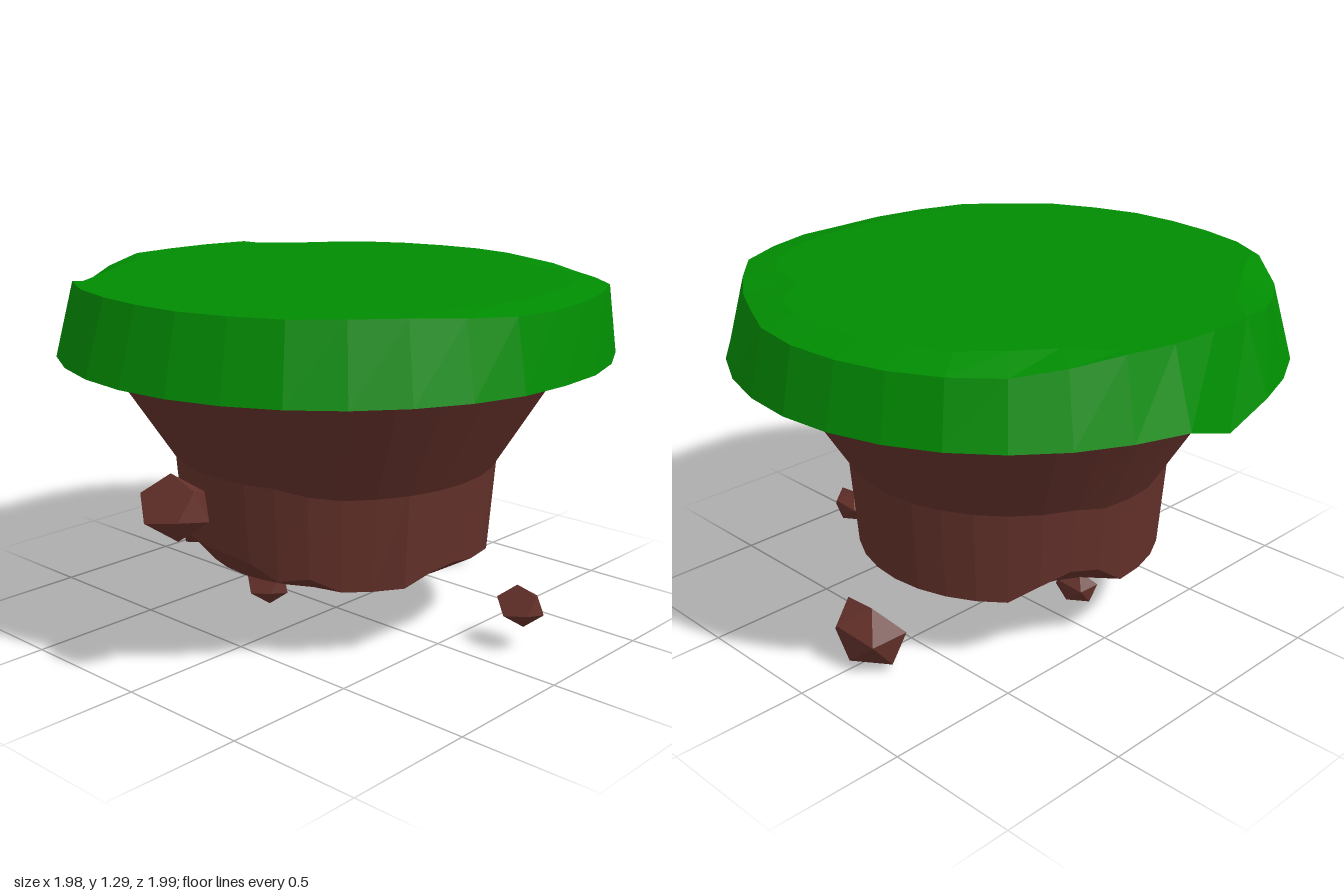
import * as THREE from 'three';
import { ConvexGeometry } from 'three/addons/geometries/ConvexGeometry.js';

const SIDES = 32;

// Reads a fixed value or a per-side list.
const at = (v, i) => (Array.isArray(v) ? v[i] : v);

// A list with one default value and a few exceptions by side index (0 = front, 8 = +x).
function vary(base, changes) {
  const list = new Array(SIDES).fill(base);
  for (const [i, v] of Object.entries(changes)) list[i] = v;
  return list;
}

// Skin a stack of rings [radius, height], ordered from the underside up and over.
function loft(rings) {
  const pos = [], index = [];
  for (const [r, y] of rings) {
    for (let i = 0; i < SIDES; i++) {
      const a = (i / SIDES) * Math.PI * 2;
      pos.push(Math.sin(a) * at(r, i), at(y, i), Math.cos(a) * at(r, i));
    }
  }
  for (let k = 0; k < rings.length - 1; k++) {
    for (let i = 0; i < SIDES; i++) {
      const j = (i + 1) % SIDES;
      const a = k * SIDES + i, b = k * SIDES + j, c = b + SIDES, d = a + SIDES;
      if (rings[k][0] !== 0) index.push(a, b, c);
      if (rings[k + 1][0] !== 0) index.push(a, c, d);
    }
  }
  const indexed = new THREE.BufferGeometry();
  indexed.setAttribute('position', new THREE.Float32BufferAttribute(pos, 3));
  indexed.setIndex(index);
  const geo = indexed.toNonIndexed();
  geo.computeVertexNormals();
  return geo;
}

// Icosahedral chunk with its front cap sliced off to a flat pentagon.
function rockGeometry(radius) {
  const points = [new THREE.Vector3(0, 0, -radius)];
  for (let i = 0; i < 10; i++) {
    const a = ((i + 2) / 10) * Math.PI * 2;
    const z = i % 2 ? 0.447 : -0.447;
    points.push(new THREE.Vector3(Math.cos(a) * 0.894, Math.sin(a) * 0.894, z).multiplyScalar(radius));
  }
  return new ConvexGeometry(points);
}

export function createModel() {
  const model = new THREE.Group();
  model.name = 'floatingIsland';
  const grass = new THREE.MeshStandardMaterial({ color: 0x018c02 });
  grass.name = 'grass green';
  const earth = new THREE.MeshStandardMaterial({ color: 0x64312a });
  earth.name = 'earth brown';
  grass.flatShading = earth.flatShading = true;

  const add = (name, geometry, material) => {
    const mesh = new THREE.Mesh(geometry, material);
    mesh.name = name;
    model.add(mesh);
    return mesh;
  };

  // Grass slab: tapered wall, uneven rim sloping off at the back, one sagging edge
  const rim = [
    0.92, 0.93, 0.93, 0.94, 0.925, 0.935, 0.94, 0.95, 0.945, 0.95, 0.955, 0.965, 0.935, 0.92, 0.92, 0.945,
    0.95, 0.945, 0.95, 0.95, 0.93, 0.92, 0.92, 0.91, 0.905, 0.915, 0.92, 0.92, 0.94, 0.93, 0.93, 0.92,
  ];
  const rimHeight = vary(1.29, {
    6: 1.28, 7: 1.27, 8: 1.265, 9: 1.27, 10: 1.27, 11: 1.27, 12: 1.265, 13: 1.26, 14: 1.265, 15: 1.26, 16: 1.255,
    17: 1.25, 18: 1.25, 19: 1.25, 20: 1.245, 21: 1.265, 26: 1.265, 27: 1.24, 28: 1.24,
  });
  // Wider slopes where the rim dips
  const turf = rim.map((r, i) => r * (i === 13 ? 0.8 : rimHeight[i] < 1.29 ? 0.88 : 0.96));
  add('grassTop', loft([
    [0.8, 1.03],
    [0.95, 1.03],
    [vary(0.997, { 8: 0.99, 23: 1.005, 24: 0.99, 25: 1.005 }), vary(1.03, { 24: 0.97 })],
    [rim, rimHeight],
    [turf, 1.29],
    [0, 1.29],
  ]), grass);

  // Earth: short broken column flaring up to the grass
  const brokenEdge = vary(0.273, {
    0: 0.37, 1: 0.36, 2: 0.31, 3: 0.33, 4: 0.28, 6: 0.28, 7: 0.32, 8: 0.33, 9: 0.31, 10: 0.3,
    21: 0.33, 22: 0.37, 23: 0.35, 29: 0.36, 30: 0.37, 31: 0.37,
  });
  const shoulder = vary(0.62, { 0: 0.65, 1: 0.65, 2: 0.65, 3: 0.63, 23: 0.6, 24: 0.6, 25: 0.6, 29: 0.64, 30: 0.65, 31: 0.65 });
  add('earthBase', loft([
    [0, 0.272],
    [vary(0.48, { 20: 0.5, 21: 0.46, 22: 0.44, 23: 0.46, 24: 0.5 }), 0.27],
    [vary(0.565, { 4: 0.55, 5: 0.54 }), brokenEdge],
    [0.592, shoulder],
    [0.845, 1.03],
  ]), earth);

  // Loose rocks, wider than tall, flat sides tilted up and forward
  const rocks = [
    [-0.01, 0.122, -0.697, 0.127],
    [0.12, 0.645, 0.888, 0.108],
    [-0.24, 0.068, 0.13, 0.073],
    [0.74, 0.165, -0.16, 0.073],
  ];
  rocks.forEach(([x, y, z, radius], i) => {
    const rock = add(`looseRock${i + 1}`, rockGeometry(radius), earth);
    rock.position.set(x, y, z);
    rock.rotation.x = -0.69;
    rock.scale.x = 1.28;
  });

  return model;
}
